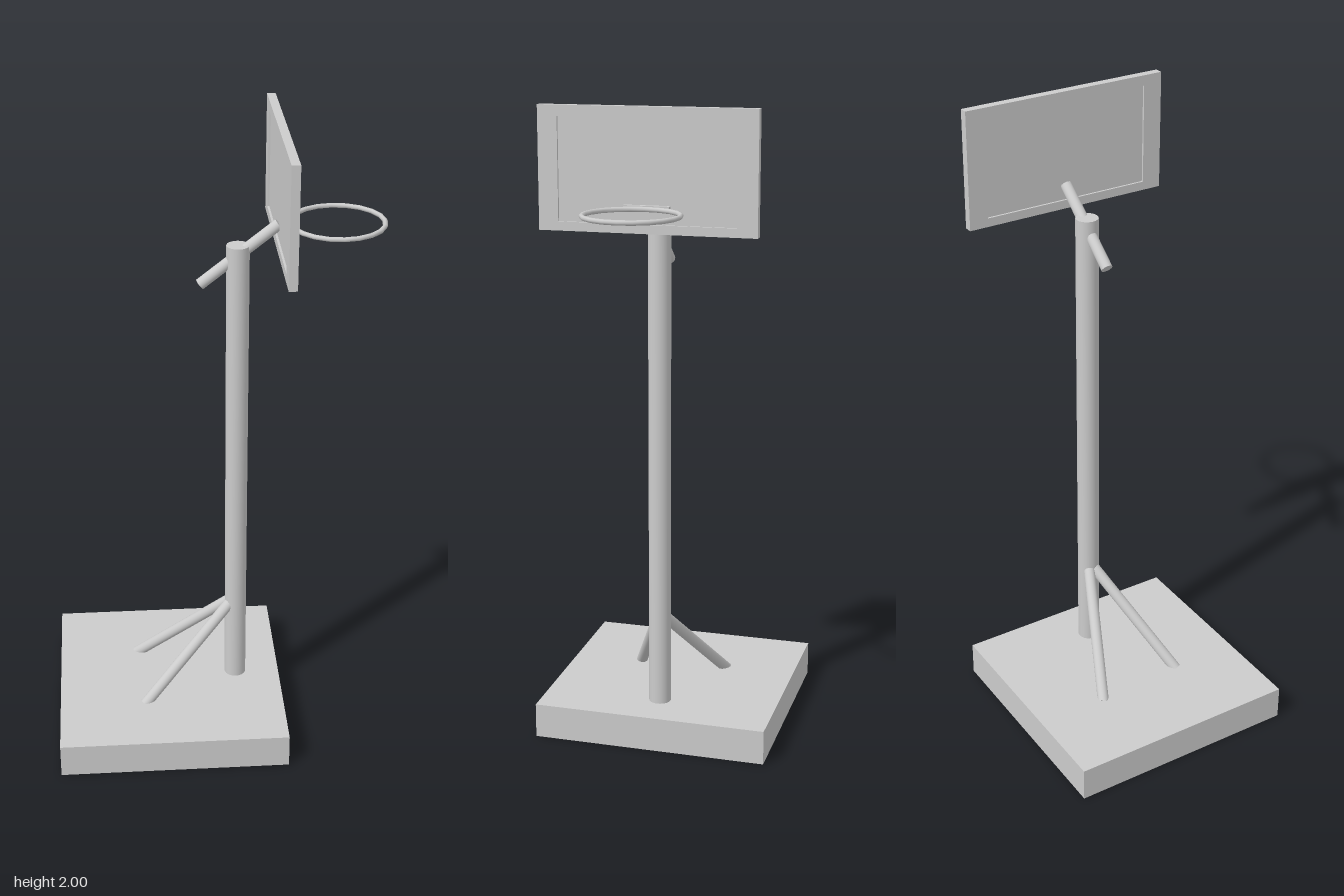
import * as THREE from 'three';

const grey = new THREE.MeshStandardMaterial({ color: 0xcccccc });

export function createModel() {
  const model = new THREE.Group();
  model.name = 'basketballHoop';

  const add = (name, geometry, x = 0, y = 0, z = 0) => {
    const mesh = new THREE.Mesh(geometry, grey);
    mesh.name = name;
    mesh.position.set(x, y, z);
    model.add(mesh);
    return mesh;
  };

  // Round bar between two points
  const bar = (name, from, to, radius) => {
    const a = new THREE.Vector3(...from);
    const b = new THREE.Vector3(...to);
    const dir = b.clone().sub(a);
    const mesh = add(name, new THREE.CylinderGeometry(radius, radius, dir.length(), 24));
    mesh.position.copy(a).add(b).multiplyScalar(0.5);
    mesh.quaternion.setFromUnitVectors(new THREE.Vector3(0, 1, 0), dir.normalize());
    return mesh;
  };

  // Base slab
  add('base', new THREE.BoxGeometry(0.73, 0.11, 0.745), -0.15, 0.055, 0);

  // Upright pole with two splayed braces
  bar('pole', [0.07, 0.1, 0], [0.07, 1.645, 0], 0.035);
  bar('braceLeft', [0.06, 0.4, 0.005], [-0.237, 0.1, 0.152], 0.018);
  bar('braceRight', [0.06, 0.4, -0.005], [-0.255, 0.1, -0.142], 0.018);

  // Slanted arm carrying the backboard
  bar('arm', [-0.043, 1.524, 0], [0.19, 1.708, 0], 0.0175);

  // Backboard: a frame around a recessed panel
  const outline = new THREE.Shape([
    new THREE.Vector2(-0.33, 1.635), new THREE.Vector2(0.33, 1.635),
    new THREE.Vector2(0.33, 2), new THREE.Vector2(-0.33, 2),
  ]);
  outline.holes.push(new THREE.Path([
    new THREE.Vector2(-0.27, 1.662), new THREE.Vector2(-0.27, 1.968),
    new THREE.Vector2(0.27, 1.968), new THREE.Vector2(0.27, 1.662),
  ]));
  const frame = add('backboardFrame',
    new THREE.ExtrudeGeometry(outline, { depth: 0.026, bevelEnabled: false }), 0.183, 0, 0);
  frame.rotation.y = Math.PI / 2;
  add('backboardPanel', new THREE.BoxGeometry(0.012, 0.312, 0.546), 0.1955, 1.815, 0);

  // Rim and its mounting plate
  const rim = add('rim', new THREE.TorusGeometry(0.14, 0.0075, 8, 20), 0.363, 1.709, 0);
  rim.rotation.x = Math.PI / 2;
  add('rimBracket', new THREE.BoxGeometry(0.018, 0.018, 0.14), 0.207, 1.709, 0);

  return model;
}
